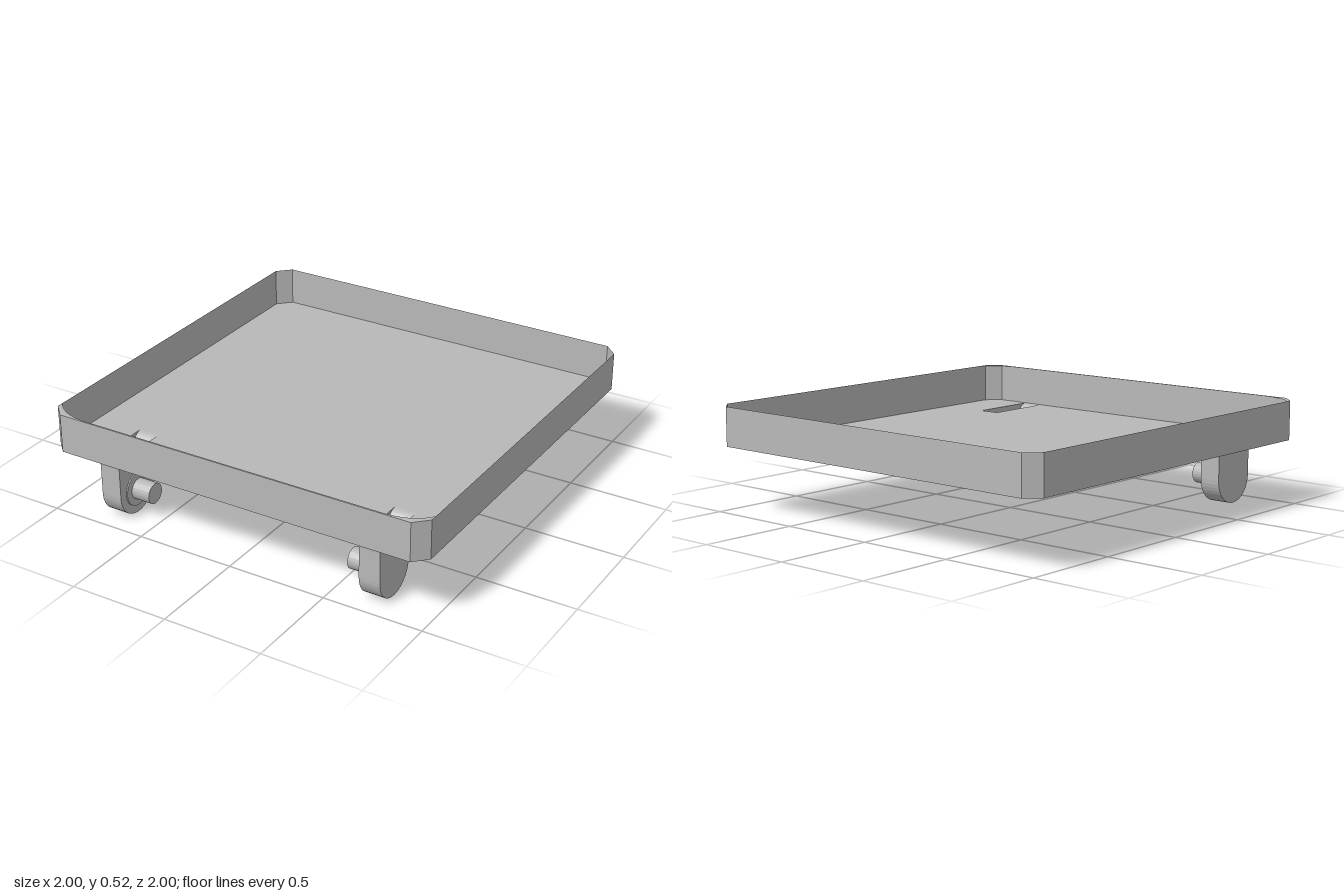
import * as THREE from 'three';

const FLOOR = 0.33, TOP = 0.525;

const metal = new THREE.MeshStandardMaterial({ color: 0xb8b8b8, flatShading: true, side: THREE.DoubleSide });
metal.name = 'plain grey';

function add(parent, name, geometry) {
  const mesh = new THREE.Mesh(geometry, metal);
  mesh.name = name;
  parent.add(mesh);
  return mesh;
}

// Sheet swept from a line of points along an offset
function ribbon(points, offset) {
  const pos = [], index = [];
  points.forEach((p, i) => {
    const q = p.clone().add(offset);
    pos.push(p.x, p.y, p.z, q.x, q.y, q.z);
    if (i) {
      const a = 2 * i - 2;
      index.push(a, a + 2, a + 1, a + 1, a + 2, a + 3);
    }
  });
  const g = new THREE.BufferGeometry();
  g.setAttribute('position', new THREE.Float32BufferAttribute(pos, 3));
  g.setIndex(index);
  g.computeVertexNormals();
  return g;
}

// Flat plate from an (x, z) shape at height y
const flat = (shape, y) => new THREE.ShapeGeometry(shape, 10).rotateX(Math.PI / 2).translate(0, y, 0);

// Side outline of a lug as (z, y): flared top, straight sides, round foot
function lugOutline() {
  const s = new THREE.Shape();
  s.moveTo(0.995, FLOOR);
  s.absarc(0.995, 0.28, 0.05, Math.PI / 2, Math.PI, false);
  s.lineTo(0.945, 0.13);
  s.absarc(0.817, 0.13, 0.128, 0, -Math.PI, true);
  s.lineTo(0.689, 0.27);
  s.absarc(0.629, 0.27, 0.06, 0, Math.PI / 2, false);
  return s;
}

export function createModel() {
  const model = new THREE.Group();
  model.name = 'tray';

  // Square outline with clipped corners
  const c = 0.935;
  const corners = [[c, 1], [1, c], [1, -c], [c, -1], [-c, -1], [-1, -c], [-1, c], [-c, 1]]
    .map(([x, z]) => new THREE.Vector2(x, z));

  // Floor, open above each hollow lug
  const floor = new THREE.Shape(corners);
  for (const s of [-1, 1]) {
    floor.holes.push(new THREE.Path([[0.65, 0.629], [0.757, 0.629], [0.757, 0.995], [0.65, 0.995]]
      .map(([x, z]) => new THREE.Vector2(s * x, z))));
  }
  add(model, 'floor', flat(floor, FLOOR));

  // Thin upright rim
  const rim = [...corners, corners[0]].map(p => new THREE.Vector3(p.x, FLOOR, p.y));
  add(model, 'rim', ribbon(rim, new THREE.Vector3(0, TOP - FLOOR, 0)));

  // Narrow front lip, widening into rounded corner caps
  const lip = new THREE.Shape();
  lip.moveTo(-c, 1);
  lip.lineTo(c, 1);
  lip.lineTo(1, c);
  lip.lineTo(1, 0.9);
  lip.quadraticCurveTo(0.93, 0.992, 0.79, 0.992);
  lip.lineTo(-0.79, 0.992);
  lip.quadraticCurveTo(-0.93, 0.992, -1, 0.9);
  lip.lineTo(-1, c);
  add(model, 'frontLip', flat(lip, TOP));

  // Hollow lugs with inward pins
  const outline = lugOutline();
  for (const s of [-1, 1]) {
    const lug = new THREE.Group();
    lug.name = s > 0 ? 'leftLug' : 'rightLug';
    model.add(lug);
    const edge = outline.getPoints(10).map(p => new THREE.Vector3(s * 0.65, p.y, p.x));
    add(lug, 'lugEdge', ribbon(edge, new THREE.Vector3(s * 0.107, 0, 0)));
    for (const [name, x] of [['innerCheek', 0.65], ['outerCheek', 0.757]]) {
      add(lug, name, new THREE.ShapeGeometry(outline, 10).rotateY(-Math.PI / 2).translate(s * x, 0, 0));
    }
    for (const [name, r, x0, x1] of [['pinCollar', 0.087, 0.643, 0.65], ['pin', 0.052, 0.545, 0.65]]) {
      add(lug, name, new THREE.CylinderGeometry(r, r, x1 - x0, 24)
        .rotateZ(Math.PI / 2).translate(s * (x0 + x1) / 2, 0.13, 0.817));
    }
  }
  return model;
}
